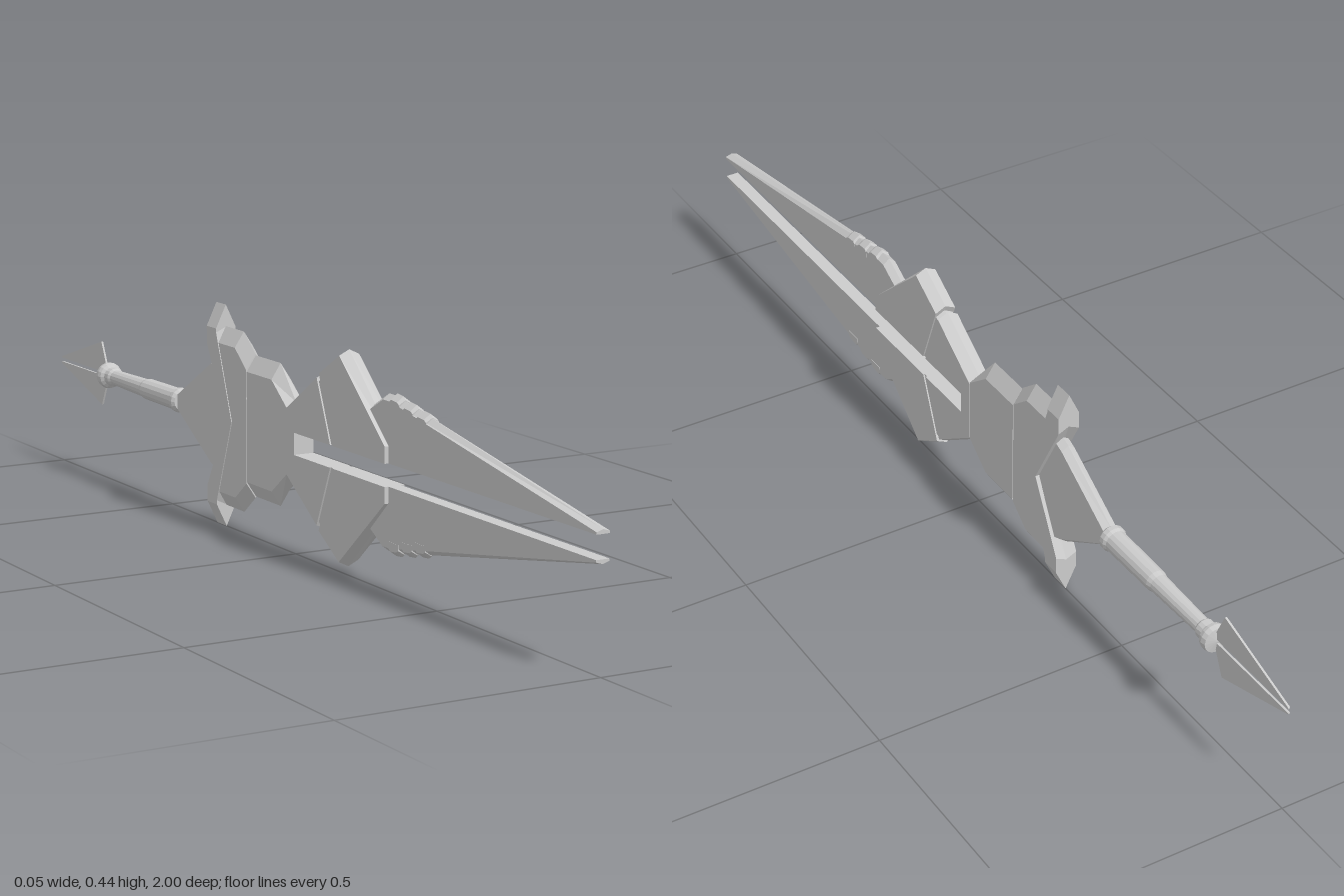
import * as THREE from 'three';

const material = new THREE.MeshStandardMaterial({ color: 0xcccccc, flatShading: true, side: THREE.DoubleSide });

// Plate in the z-y plane with a ridge along its rim.
// points: [z, height, drop]; drop lowers the point on the two side faces.
// sign +1 gives the upper plate, -1 its mirror image below.
function plateGeometry(points, halfWidth, sign) {
  let pts = points.map(([z, h, drop = 0]) => ({ z, mid: h * sign, side: (h - drop) * sign }));
  if (THREE.ShapeUtils.isClockWise(pts.map((p) => new THREE.Vector2(-p.z, p.mid)))) pts.reverse();
  const n = pts.length;
  const positions = [];
  for (const p of pts) positions.push(-halfWidth, p.side, p.z);
  for (const p of pts) positions.push(0, p.mid, p.z);
  for (const p of pts) positions.push(halfWidth, p.side, p.z);

  const index = [];
  for (let layer = 0; layer < 2; layer++) {
    for (let i = 0; i < n; i++) {
      const a = layer * n + i;
      const b = layer * n + ((i + 1) % n);
      index.push(a, b, b + n, a, b + n, a + n);
    }
  }
  const contour = pts.map((p) => new THREE.Vector2(-p.z, p.side));
  for (const [a, b, c] of THREE.ShapeUtils.triangulateShape(contour, [])) {
    index.push(2 * n + a, 2 * n + b, 2 * n + c, c, b, a);
  }
  const indexed = new THREE.BufferGeometry();
  indexed.setAttribute('position', new THREE.Float32BufferAttribute(positions, 3));
  indexed.setIndex(index);
  const geometry = indexed.toNonIndexed();
  geometry.computeVertexNormals();
  return geometry;
}

export function createModel() {
  const model = new THREE.Group();
  model.name = 'twinBladedWeapon';
  model.position.y = 0.219;
  const root = new THREE.Group();
  root.add(model);

  const add = (name, geometry) => {
    const mesh = new THREE.Mesh(geometry, material);
    mesh.name = name;
    model.add(mesh);
  };
  const slot = 0.021;

  // Every plate: name, half width, outline of the upper half
  const plates = [
    ['blade', 0.013, [
      [1, slot], [1, 0.029, 0.004], [0.36, 0.143, 0.01], [0.335, 0.143, 0.01],
      [0.285, 0.115, 0.01], [0.2, 0.115, 0.01], [0.2, slot],
    ]],
    ['frontGuard', 0.021, [
      [0.355, slot], [0.355, 0.052], [0.195, 0.201, 0.01], [0.122, 0.157, 0.01], [0.172, slot],
    ]],
    ['guardCore', 0.018, [
      [0.2, slot], [0.15, 0.155, 0.01], [0.1, 0.135, 0.01], [0.13, slot],
    ]],
    ['rearGuard', 0.021, [
      [0.163, slot], [0.114, 0.148, 0.01], [0, 0.072, 0.01], [0, 0], [0.03, 0], [0.03, slot],
    ]],
    ['body', 0.02, [
      [0.002, 0], [0.002, 0.072, 0.01], [-0.057, 0.137, 0.03], [-0.153, 0.137, 0.03], [-0.153, 0],
    ]],
    ['shoulder', 0.02, [
      [-0.155, 0], [-0.155, 0.14, 0.03], [-0.2, 0.176, 0.03], [-0.28, 0.176, 0.03], [-0.22, 0],
    ]],
    ['wing', 0.0215, [
      [-0.212, 0], [-0.272, 0.175, 0.01], [-0.272, 0.218, 0.045], [-0.31, 0.218, 0.045],
      [-0.31, 0.15, 0.01], [-0.235, 0],
    ]],
    ['rearShield', 0.0135, [
      [-0.2, 0], [-0.285, 0.118, 0.01], [-0.31, 0.108, 0.01], [-0.457, 0.018, 0.008], [-0.457, 0],
    ]],
    ['tailFin', 0.002, [
      [-0.785, 0.004], [-0.785, 0.012], [-0.81, 0.066], [-1, 0.007], [-1, 0.004],
    ]],
  ];

  // Three raised ribs on the outer edge of each blade
  for (const z of [0.375, 0.42, 0.465]) {
    const h = 0.143 - (z - 0.36) * 0.178;
    plates.push(['bladeRib', 0.0135, [
      [z + 0.015, h - 0.02], [z + 0.015, h - 0.001, 0.008], [z + 0.008, h + 0.005, 0.01],
      [z - 0.012, h + 0.007, 0.01], [z - 0.018, h, 0.008], [z - 0.018, h - 0.02],
    ]]);
  }

  for (const [name, halfWidth, outline] of plates) {
    add('upper' + name[0].toUpperCase() + name.slice(1), plateGeometry(outline, halfWidth, 1));
    add('lower' + name[0].toUpperCase() + name.slice(1), plateGeometry(outline, halfWidth, -1));
  }

  // Turned grip with collars and an end cap, [radius, distance behind the centre]
  const profile = [
    [0, 0.45], [0.02, 0.45], [0.025, 0.456], [0.025, 0.466], [0.022, 0.472],
    [0.021, 0.6], [0.0185, 0.61], [0.0155, 0.745], [0.019, 0.75], [0.019, 0.765],
    [0.025, 0.77], [0.027, 0.778], [0.025, 0.788], [0, 0.792],
  ].map(([r, d]) => new THREE.Vector2(r, d));
  add('grip', new THREE.LatheGeometry(profile, 16).rotateX(-Math.PI / 2));

  return root;
}
